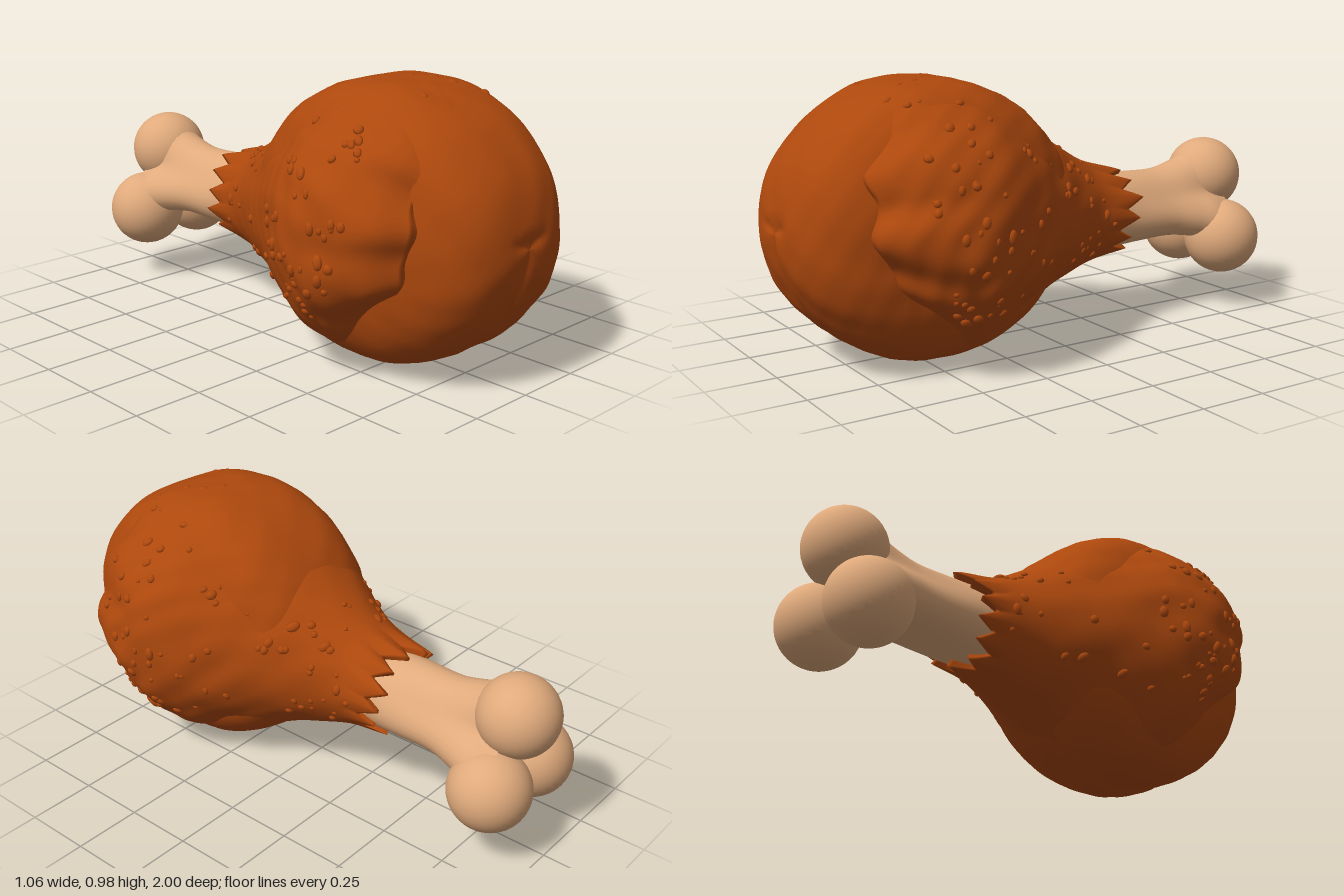
import * as THREE from 'three';
import { mergeGeometries } from 'three/addons/utils/BufferGeometryUtils.js';

const TAU = Math.PI * 2;
const V = (x, y, z) => new THREE.Vector3(x, y, z);
const smooth = THREE.MathUtils.smoothstep;

// Smooth closed-around loft; rows run towards +z, columns run round the z axis
function loft(rows, cols, point) {
  const pos = [], index = [];
  for (let i = 0; i <= rows; i++)
    for (let j = 0; j < cols; j++) pos.push(...point(i / rows, (j / cols) * TAU).toArray());
  for (let i = 0; i < rows; i++)
    for (let j = 0; j < cols; j++) {
      const a = i * cols + j, b = i * cols + (j + 1) % cols;
      index.push(a, b, a + cols, b, b + cols, a + cols);
    }
  const g = new THREE.BufferGeometry();
  g.setAttribute('position', new THREE.Float32BufferAttribute(pos, 3));
  g.setIndex(index);
  g.computeVertexNormals();
  return g;
}

// Lumpy surface relief, about -1 to 1
const lumps = (x, y, z) =>
  0.45 * Math.sin(13 * x + 5 * y + 1) * Math.sin(12 * y - 4 * z) +
  0.35 * Math.sin(23 * z + 9 * x) * Math.sin(21 * y + 8 * x + 2) +
  0.3 * Math.sin(41 * x - 13 * z) * Math.sin(37 * y + 31 * z);

// Skin profile from the torn rear edge to the front lip: z, half width, top, bottom
const profile = [
  [-0.36, 0.172, 0.575, 0.255], [-0.2, 0.2, 0.645, 0.225], [0, 0.3, 0.77, 0.165],
  [0.2, 0.42, 0.895, 0.085], [0.35, 0.5, 0.962, 0.035], [0.47, 0.527, 0.975, 0.02],
  [0.6, 0.51, 0.968, 0.03], [0.71, 0.455, 0.92, 0.085], [0.79, 0.36, 0.84, 0.16],
];
const topLine = new THREE.CatmullRomCurve3(profile.map(([z, w, t]) => V(w, t, z)));
const bottomLine = new THREE.CatmullRomCurve3(profile.map(([z, w, , b]) => V(w, b, z)));

function skinPoint(t, a) {
  const p = topLine.getPoint(t), q = bottomLine.getPoint(t);
  const c = Math.cos(a), s = Math.sin(a);
  const ry = (p.y - q.y) / 2, cy = (p.y + q.y) / 2;
  let z = p.z;
  const k = 1 + 0.026 * lumps(c * p.x, s * ry, z);
  // torn teeth at the rear
  const n = (a / TAU) * 13, tooth = Math.abs((n % 1) - 0.5) * 2;
  const tear = 1 - smooth(z, -0.36, -0.22);
  z -= tear * (0.075 * tooth - 0.035 + 0.025 * s + 0.015 * Math.sin(4 * a));
  // front lip leans back underneath and is scalloped
  const lip = smooth(z, 0.25, 0.8);
  z += lip * (0.016 * Math.sin(11 * a + 1) - 0.3 * Math.pow(Math.max(0, -s), 1.6));
  const scallop = 1 - 0.03 * lip * Math.pow(Math.abs(Math.sin(5.5 * a)), 6);
  return V(c * p.x * k * scallop, cy + s * ry * (1 + (k - 1) * 0.6), z);
}

function skinGeometry() {
  const rows = 86;
  return loft(rows, 156, (u, a) => {
    const i = Math.round(u * rows);
    if (i === 0) { // turned-in rim at the bone
      const p = skinPoint(0, a);
      return V(p.x * 0.7, 0.415 + (p.y - 0.415) * 0.7, p.z + 0.03);
    }
    if (i === rows) { // front lip turned into the meat
      const p = skinPoint(1, a);
      return V(p.x * 0.3, 0.5 + (p.y - 0.5) * 0.3, p.z - 0.06);
    }
    return skinPoint((i - 1) / (rows - 2), a);
  });
}

// Boxy, rounded meat with a seam up the lower front
function meatGeometry() {
  return loft(60, 100, (u, a) => {
    const lat = (u - 0.5) * Math.PI;
    const d = V(Math.cos(lat) * Math.cos(a), Math.cos(lat) * Math.sin(a), Math.sin(lat));
    const yz = Math.hypot(d.y / 0.49, d.z / 0.54);
    let r = Math.pow(Math.pow(Math.abs(d.x) / 0.36, 3) + Math.pow(yz, 3), -1 / 3);
    r *= 1 + 0.013 * lumps(d.x * 0.5, d.y * 0.5 + 0.2, d.z * 0.5);
    const x = d.x * r, y = d.y * r;
    r -= 0.014 * Math.exp(-((x / 0.018) ** 2)) * (1 - smooth(y, -0.1, 0.06));
    r -= 0.012 * Math.exp(-(((y - 0.02 - x * x) / 0.02) ** 2)) * (1 - smooth(Math.abs(x), 0.04, 0.1));
    return V(d.x * r, 0.495 + d.y * r, 0.455 + d.z * r);
  });
}

// Small crisp blisters scattered over the skin
function blisterGeometry() {
  let seed = 7;
  const rand = () => (seed = (seed * 16807) % 2147483647) / 2147483647;
  const parts = [];
  for (let i = 0; i < 190; i++) {
    const t = 0.08 + 0.72 * rand(), a = -0.7 + rand() * (Math.PI + 1.4);
    const p = skinPoint(t, a);
    const du = skinPoint(t + 0.01, a).sub(p), da = skinPoint(t, a + 0.03).sub(p);
    const q = new THREE.Quaternion().setFromUnitVectors(V(0, 0, 1), da.cross(du).normalize());
    const r = 0.008 + 0.01 * rand();
    const g = new THREE.SphereGeometry(1, 8, 6);
    g.applyMatrix4(new THREE.Matrix4().compose(p, q, V(r, r * (0.8 + 0.7 * rand()), r * 0.65)));
    parts.push(g);
  }
  return mergeGeometries(parts);
}

// Shaft swelling into three ridges that run into the knuckles: z, half width, half height, ridge
const shaft = [
  [-0.86, 0.15, 0.14, 0.045], [-0.78, 0.175, 0.155, 0.045], [-0.7, 0.165, 0.14, 0.03],
  [-0.6, 0.15, 0.128, 0.018], [-0.45, 0.15, 0.135, 0.012], [-0.25, 0.155, 0.15, 0],
];
function shaftGeometry() {
  const size = new THREE.CatmullRomCurve3(shaft.map(([z, w, h]) => V(w, h, z)));
  const ridge = new THREE.CatmullRomCurve3(shaft.map(([z, , , r]) => V(r, 0, z)));
  return loft(28, 48, (u, a) => {
    const p = size.getPoint(u), r = ridge.getPoint(u).x * -Math.sin(3 * a);
    return V(Math.cos(a) * (p.x + r), 0.415 + Math.sin(a) * (p.y + r), p.z);
  });
}

export function createModel() {
  const skinColour = new THREE.MeshStandardMaterial({ name: 'roasted brown', color: 0xad480d });
  const boneColour = new THREE.MeshStandardMaterial({ name: 'bone tan', color: 0xe0aa7c });
  const model = new THREE.Group();
  model.name = 'drumstick';
  const add = (name, geometry, material, x = 0, y = 0, z = 0) => {
    const mesh = new THREE.Mesh(geometry, material);
    mesh.name = name;
    mesh.position.set(x, y, z);
    model.add(mesh);
  };

  add('meat', meatGeometry(), skinColour);
  add('skin', skinGeometry(), skinColour);
  add('blisters', blisterGeometry(), skinColour);
  add('boneShaft', shaftGeometry(), boneColour);

  // Knuckles at the bone end
  const ball = new THREE.SphereGeometry(0.146, 36, 24);
  add('topKnuckle', ball, boneColour, 0, 0.515, -0.853);
  for (const [side, x] of [['left', 0.13], ['right', -0.13]])
    add(side + 'Knuckle', ball, boneColour, x, 0.283, -0.842);
  return model;
}
